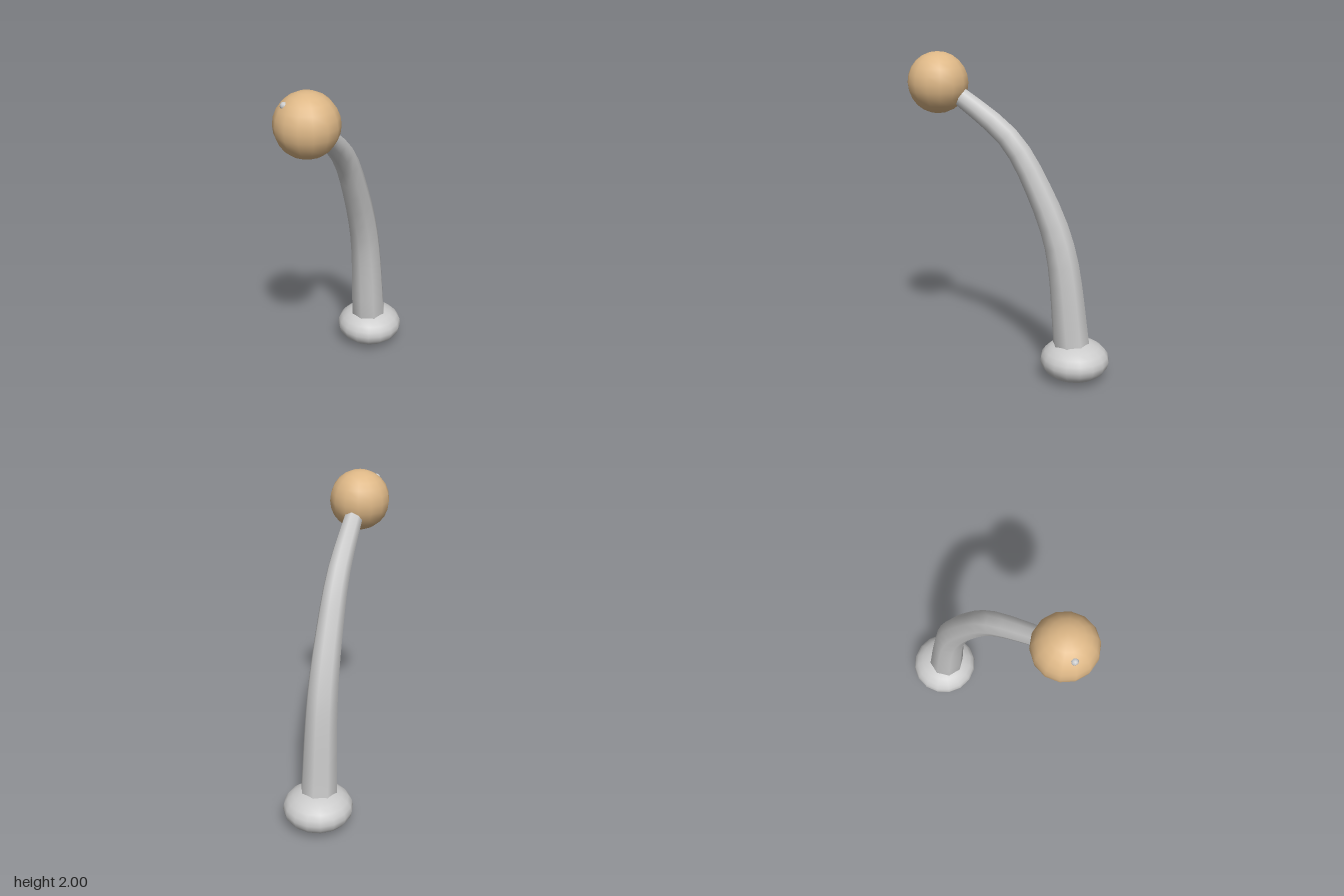
import * as THREE from 'three';

const grey = new THREE.MeshStandardMaterial({ color: 0xcccccc });
const tan = new THREE.MeshStandardMaterial({ color: 0xdeb887 });

function part(name, geometry, material, x, y, z) {
  const mesh = new THREE.Mesh(geometry, material);
  mesh.name = name;
  mesh.position.set(x, y, z);
  return mesh;
}

// Tube whose rings shrink along the path, from r0 to r1
function taperedTube(curve, segments, sides, r0, r1) {
  const geometry = new THREE.TubeGeometry(curve, segments, 1, sides, false);
  const pos = geometry.attributes.position;
  const v = new THREE.Vector3();
  for (let i = 0; i <= segments; i++) {
    const centre = curve.getPointAt(i / segments);
    const r = THREE.MathUtils.lerp(r0, r1, i / segments);
    for (let j = 0; j <= sides; j++) {
      const k = i * (sides + 1) + j;
      v.fromBufferAttribute(pos, k).sub(centre).multiplyScalar(r).add(centre);
      pos.setXYZ(k, v.x, v.y, v.z);
    }
  }
  return geometry;
}

export function createModel() {
  const model = new THREE.Group();
  model.name = 'curvedStemWithBall';

  // Squashed rounded foot
  const foot = part('foot', new THREE.SphereGeometry(0.215, 16, 12), grey, 0, 0.128, -0.42);
  foot.scale.y = 0.128 / 0.215;
  model.add(foot);

  // Eight-sided stem leaning forward, from inside the foot into the ball
  const path = new THREE.CatmullRomCurve3([
    [0.13, -0.412], [0.24, -0.396], [0.83, -0.318], [1.2, -0.175], [1.49, 0.0], [1.735, 0.31], [1.8, 0.41],
  ].map(([y, z]) => new THREE.Vector3(0, y, z)));
  model.add(part('stem', taperedTube(path, 16, 8, 0.118, 0.054), grey, 0, 0, 0));

  // Ball at the tip, with a small highlight bead
  model.add(part('ball', new THREE.SphereGeometry(0.184, 14, 12), tan, 0, 1.816, 0.452));
  model.add(part('highlight', new THREE.SphereGeometry(0.022, 8, 6), grey, -0.08, 1.936, 0.55));

  return model;
}
